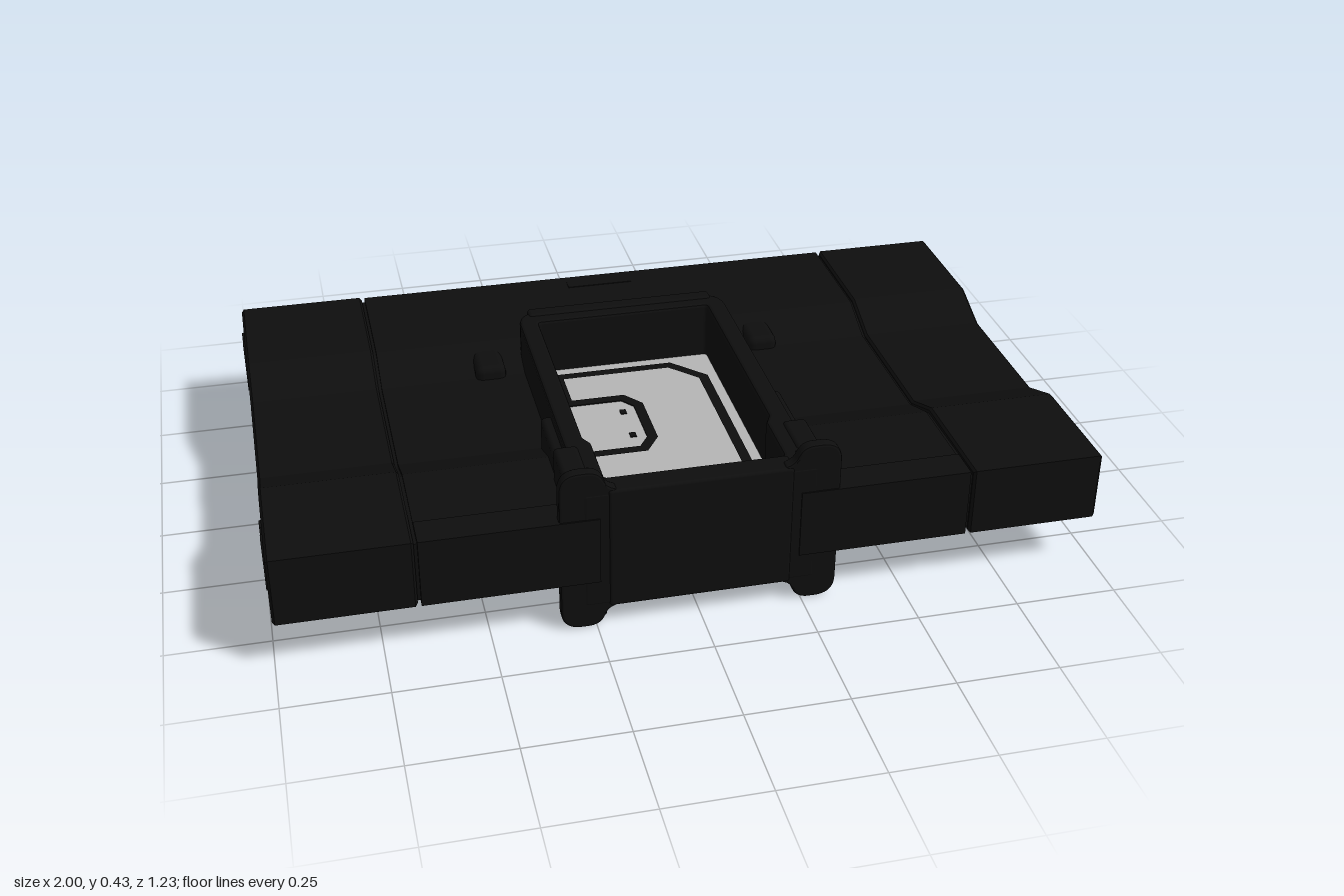
import * as THREE from 'three';
import { RoundedBoxGeometry } from 'three/addons/geometries/RoundedBoxGeometry.js';

const black = new THREE.MeshStandardMaterial({ color: 0x0e0e0e });
black.name = 'black';
const grey = new THREE.MeshStandardMaterial({ color: 0xb6b6b6 });
grey.name = 'lightGrey';

const shapeOf = (pts) => new THREE.Shape(pts.map(([x, y]) => new THREE.Vector2(x, y)));

// Outline with rounded corners; each point is [x, y, radius]
function rounded(pts, Type = THREE.Shape) {
  const s = new Type();
  const v = pts.map(([x, y]) => new THREE.Vector2(x, y));
  pts.forEach((p, i) => {
    const prev = v[(i + v.length - 1) % v.length], next = v[(i + 1) % v.length], r = p[2] || 0;
    const a = v[i].clone().add(prev.clone().sub(v[i]).setLength(r));
    const b = v[i].clone().add(next.clone().sub(v[i]).setLength(r));
    if (i === 0) s.moveTo(a.x, a.y); else s.lineTo(a.x, a.y);
    if (r) s.quadraticCurveTo(v[i].x, v[i].y, b.x, b.y);
  });
  s.closePath();
  return s;
}

// Extrude a side profile, given as [z, y], from x0 to x1
function alongX(profile, x0, x1, bevel = 0) {
  const g = new THREE.ExtrudeGeometry(shapeOf(profile.map(([z, y]) => [-z, y])), {
    depth: x1 - x0 - 2 * bevel, bevelEnabled: bevel > 0, bevelSize: bevel,
    bevelThickness: bevel, bevelOffset: -bevel, bevelSegments: 1 });
  return g.rotateY(Math.PI / 2).translate(x0 + bevel, 0, 0);
}

// Extrude a plan shape, drawn as (x, -z), from y0 to y1
function alongY(shape, y0, y1, bevel = 0) {
  const g = new THREE.ExtrudeGeometry(shape, {
    depth: y1 - y0 - 2 * bevel, bevelEnabled: bevel > 0, bevelSize: bevel,
    bevelThickness: bevel, bevelOffset: -bevel, bevelSegments: 2, curveSegments: 6 });
  return g.rotateX(-Math.PI / 2).translate(0, y0 + bevel, 0);
}

// Mirror a half profile about the mid height to close it
const MID = 0.2175;
const closed = (top) => [...top, ...top.map(([z, y]) => [z, 2 * MID - y]).reverse()];

export function createModel() {
  const model = new THREE.Group();
  const add = (name, geometry, material = black) => {
    const m = new THREE.Mesh(geometry, material);
    m.name = name;
    model.add(m);
    return m;
  };
  const box = (name, x0, x1, y0, y1, z0, z1, r = 0) => {
    const s = [x1 - x0, y1 - y0, z1 - z0];
    const g = r ? new RoundedBoxGeometry(...s, 2, r) : new THREE.BoxGeometry(...s);
    return add(name, g.translate((x0 + x1) / 2, (y0 + y1) / 2, (z0 + z1) / 2));
  };
  const span = (side, a, b) => (side > 0 ? [a, b] : [-b, -a]);

  // Slab profiles: thick front and back, waisted in the middle
  const outer = closed([[0.615, 0.305], [0.31, 0.305], [0.19, 0.257], [-0.18, 0.257], [-0.3, 0.305], [-0.615, 0.305]]);
  const inner = closed([[0.615, 0.305], [0.53, 0.305], [0.52, 0.296], [0.31, 0.296], [0.2, 0.255], [-0.18, 0.255], [-0.29, 0.303], [-0.615, 0.303]]);
  const joiner = closed([[0.605, 0.295], [0.31, 0.29], [0.2, 0.248], [-0.18, 0.248], [-0.3, 0.295], [-0.605, 0.295]]);

  for (const side of [1, -1]) {
    add('endPanel', alongX(outer, ...span(side, 0.666, 0.995), 0.006));
    add('innerPanel', alongX(inner, ...span(side, 0.24, 0.658)));
    add('panelJoint', alongX(joiner, ...span(side, 0.65, 0.675)));

    // Small catches on the end faces
    for (const z of [-0.5, -0.45, 0.43, 0.49]) {
      box('endCatch', ...span(side, 0.98, 1), 0.15, 0.285, z - 0.015, z + 0.015);
    }
    // Side grips and rounded lugs beside the frame, above and below
    box('sideGrip', ...span(side, 0.25, 0.31), 0.056, 0.379, 0.4, 0.53, 0.012);
    box('sideRail', ...span(side, 0.25, 0.305), 0.09, 0.345, 0.2, 0.56, 0.012);
    box('sideLug', ...span(side, 0.33, 0.41), 0.145, 0.29, -0.28, -0.165, 0.02);

    // Flared front flange with rounded ends and fillets towards the centre
    const c = side * 0.2;
    const px = (d) => c + side * d;
    const flange = rounded([
      [px(0), 0.055, 0.005], [px(0.025), 0.045, 0.018], [px(0.035), 0.002, 0.035], [px(0.135), 0.002, 0.05],
      [px(0.135), 0.43, 0.05], [px(0.035), 0.43, 0.035], [px(0.025), 0.39, 0.018], [px(0), 0.38, 0.005],
    ]);
    const g = new THREE.ExtrudeGeometry(flange, {
      depth: 0.018, bevelEnabled: true, bevelSize: 0.006, bevelThickness: 0.006, bevelOffset: -0.006, bevelSegments: 2 });
    add('frontFlange', g.translate(0, 0, 0.587));
  }

  // Rear bridge between the panels, with a shallow raised strip
  box('rearBridge', -0.245, 0.245, 0.132, 0.303, -0.615, -0.25);
  box('rearStrip', -0.09, 0.09, 0.13, 0.305, -0.58, -0.55);

  // Central frame around the window
  const frame = rounded([
    [-0.28, -0.612, 0.01], [0.28, -0.612, 0.01], [0.28, 0.3, 0.07], [-0.28, 0.3, 0.07],
  ]);
  frame.holes.push(rounded([
    [-0.215, -0.545, 0.01], [-0.215, -0.39, 0], [-0.23, -0.36, 0], [-0.23, 0.235, 0.01],
    [0.23, 0.235, 0.01], [0.23, -0.36, 0], [0.215, -0.39, 0], [0.215, -0.545, 0.01],
  ], THREE.Path));
  add('centralFrame', alongY(frame, 0.06, 0.373, 0.008));
  box('frontBar', -0.22, 0.22, 0.056, 0.378, 0.552, 0.615, 0.008);
  for (const [y0, y1] of [[0.055, 0.13], [0.3, 0.378]]) {
    box('rearBumper', -0.25, 0.25, y0, y1, -0.31, -0.268, 0.01);
  }

  // Light plate inside the window
  add('windowPlate', new THREE.BoxGeometry(0.46, 0.02, 0.79).translate(0, MID - 0.006, 0.155), grey);

  // Closed line traced on both faces of the plate, as [x, z]
  const path = [
    [-0.19, -0.19], [0.115, -0.19], [0.19, -0.11], [0.19, 0.48], [0.14, 0.48], [0.14, 0.52], [-0.19, 0.52],
    [-0.19, 0.21], [-0.045, 0.21], [-0.012, 0.16], [-0.012, -0.005], [-0.045, -0.048], [-0.19, -0.048],
  ];
  const plateY = MID - 0.006, half = 0.013;
  // Offset the corners sideways to get the two edges of the line
  const offset = (d) => path.map(([x, z], i) => {
    const p = path[(i + path.length - 1) % path.length], n = path[(i + 1) % path.length];
    const a = new THREE.Vector2(x - p[0], z - p[1]).normalize();
    const b = new THREE.Vector2(n[0] - x, n[1] - z).normalize();
    const na = new THREE.Vector2(a.y, -a.x), nb = new THREE.Vector2(b.y, -b.x);
    const m = na.clone().add(nb).multiplyScalar(d / (1 + na.dot(nb)));
    return [x + m.x, -(z + m.y)];
  });
  const line = shapeOf(offset(half));
  line.holes.push(new THREE.Path(offset(-half).map(([x, y]) => new THREE.Vector2(x, y))));
  for (const y of [plateY + 0.009, plateY - 0.013]) {
    add('plateLine', alongY(line, y, y + 0.004));
    for (const z of [0.022, 0.138]) {
      box('plateDot', -0.066, -0.05, y, y + 0.004, z - 0.01, z + 0.01);
    }
  }
  return model;
}
